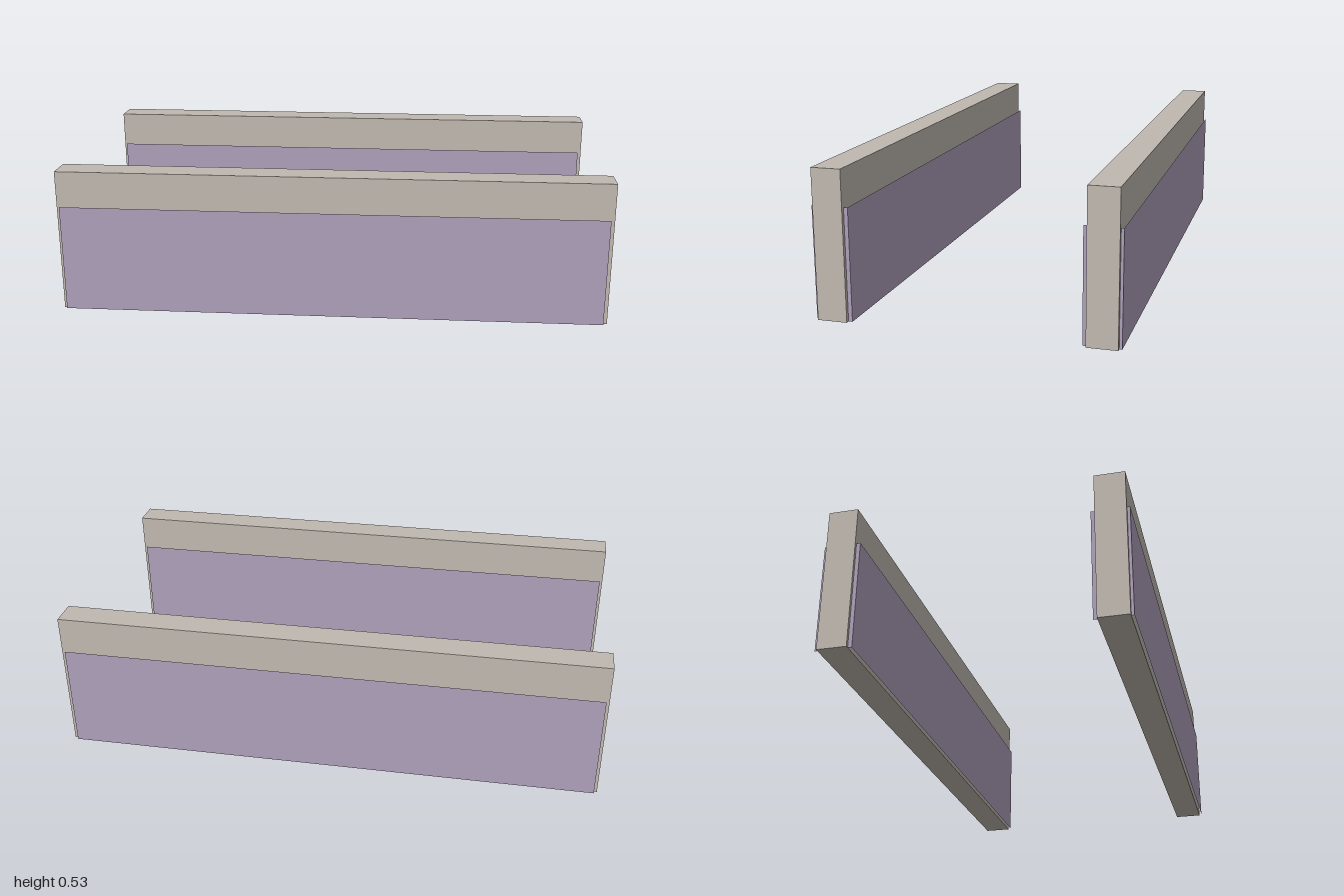
import * as THREE from 'three';

// Box given by its min and max corners
function block(name, min, max, material) {
  const size = max.map((v, i) => v - min[i]);
  const geometry = new THREE.BoxGeometry(...size);
  geometry.translate(...min.map((v, i) => v + size[i] / 2));
  const mesh = new THREE.Mesh(geometry, material);
  mesh.name = name;
  return mesh;
}

// Drop the top and bottom faces of a box (third and fourth of six)
function openEnds(geometry) {
  const index = Array.from(geometry.index.array);
  geometry.setIndex([...index.slice(0, 12), ...index.slice(24)]);
  geometry.clearGroups();
}

export function createModel() {
  const model = new THREE.Group();
  model.name = 'parallelWalls';
  const stone = new THREE.MeshStandardMaterial({ color: 0xbfb8b0 });
  const purple = new THREE.MeshStandardMaterial({ color: 0xad9fb9 });

  for (const side of [1, -1]) {
    const wall = new THREE.Group();
    wall.name = side > 0 ? 'frontWall' : 'backWall';
    const [z0, z1] = side > 0 ? [0.41, 0.515] : [-0.515, -0.41];
    const [p0, p1] = side > 0 ? [0.396, 0.525] : [-0.525, -0.396];

    // Solid wall
    wall.add(block('wallCore', [-1, 0, z0], [1, 0.527, z1], stone));

    // Thin cladding sleeve standing proud of both long faces
    const cladding = block('cladding', [-0.989, 0, p0], [0.986, 0.396, p1], purple);
    openEnds(cladding.geometry);
    wall.add(cladding);
    model.add(wall);
  }
  return model;
}
